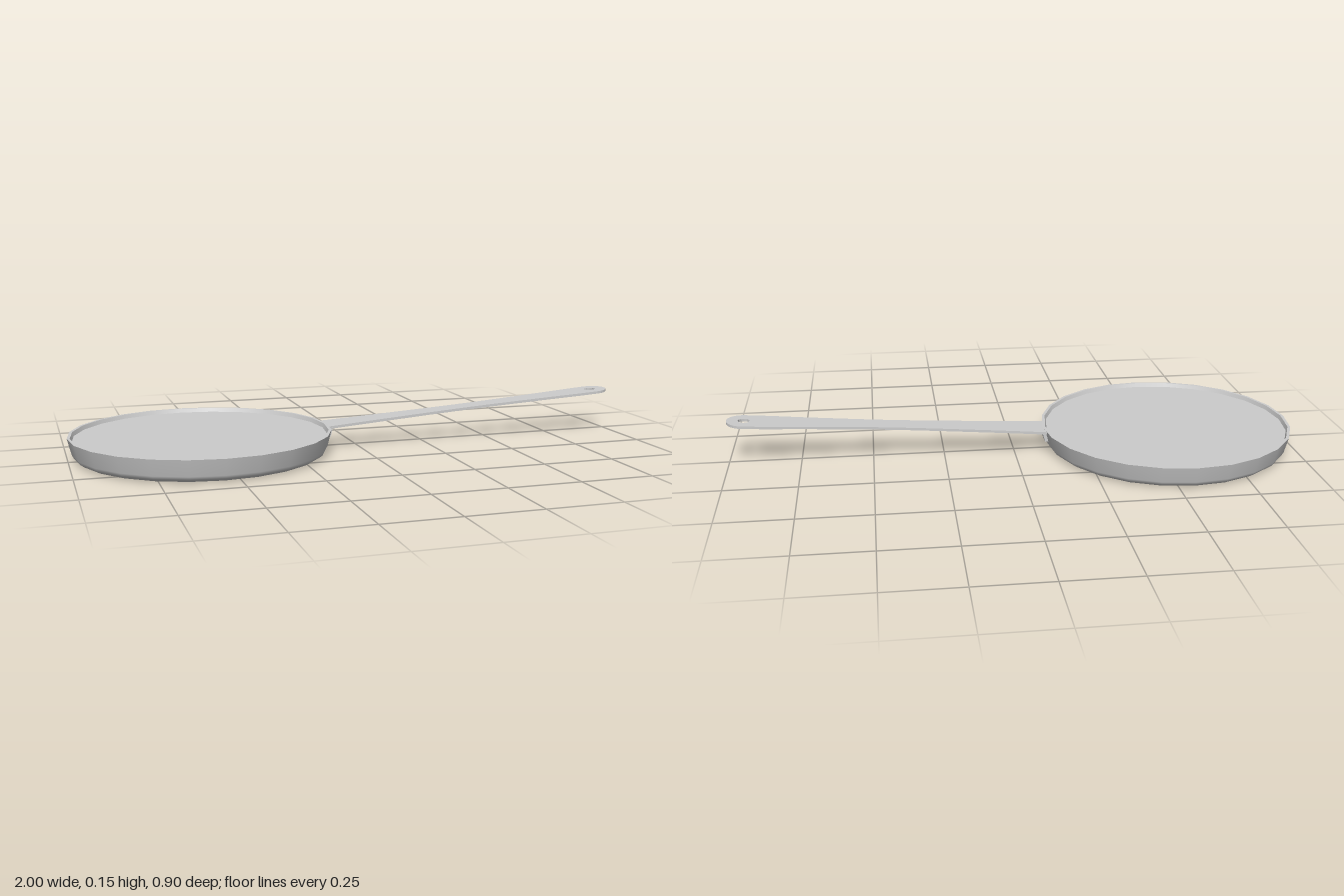
import * as THREE from 'three';

const PAN_X = -0.553;
const SIDES = 24;
const SLOPE = 0.068;

function createMesh(name, geometry) {
  const mesh = new THREE.Mesh(geometry, new THREE.MeshStandardMaterial({ color: 0xcccccc }));
  mesh.name = name;
  return mesh;
}

// One smooth surface of revolution; creases fall between separate parts
function lathe(name, points) {
  const profile = points.map(([r, y]) => new THREE.Vector2(r, y));
  const mesh = createMesh(name, new THREE.LatheGeometry(profile, SIDES));
  mesh.position.x = PAN_X;
  return mesh;
}

// Waisted strip with a round end and a hanging hole, tilted upwards
function handleGeometry() {
  const end = 0.943, half = 0.057;
  const shape = new THREE.Shape();
  shape.moveTo(-0.112, -half);
  shape.splineThru([[0.1, -0.047], [0.42, -0.038], [0.7, -0.046], [0.86, -0.055], [end, -half]]
    .map(([x, y]) => new THREE.Vector2(x, y)));
  shape.absarc(end, 0, half, -Math.PI / 2, Math.PI / 2, false);
  shape.splineThru([[0.86, 0.055], [0.7, 0.046], [0.42, 0.038], [0.1, 0.047], [-0.112, half]]
    .map(([x, y]) => new THREE.Vector2(x, y)));
  shape.closePath();
  const hole = new THREE.Path();
  hole.absarc(0.94, 0, 0.02, 0, Math.PI * 2, true);
  shape.holes.push(hole);

  const geometry = new THREE.ExtrudeGeometry(shape, { depth: 0.009, bevelEnabled: false, curveSegments: 6 });
  geometry.rotateX(-Math.PI / 2);
  const p = geometry.attributes.position;
  for (let i = 0; i < p.count; i++) {
    p.setY(i, p.getY(i) + 0.07 + SLOPE * (p.getX(i) + 0.112));
  }
  geometry.computeVertexNormals();
  return geometry;
}

// Short plate that lies against the sloping pan wall
function tabGeometry() {
  const shape = new THREE.Shape();
  shape.moveTo(-0.118, 0.043);
  shape.lineTo(-0.106, 0.043);
  shape.lineTo(-0.098, 0.074);
  shape.lineTo(-0.11, 0.074);
  shape.closePath();
  const geometry = new THREE.ExtrudeGeometry(shape, { depth: 0.114, bevelEnabled: false });
  geometry.translate(0, 0, -0.057);
  return geometry;
}

export function createModel() {
  const model = new THREE.Group();
  model.name = 'fryingPan';

  // Pan body
  const pan = new THREE.Group();
  pan.name = 'pan';
  pan.add(
    lathe('outerShell', [[0, 0], [0.395, 0], [0.415, 0.004], [0.428, 0.013], [0.434, 0.024], [0.448, 0.08]]),
    lathe('rim', [[0.448, 0.08], [0.438, 0.08]]),
    lathe('innerWall', [[0.438, 0.08], [0.433, 0.066]]),
    lathe('cookingSurface', [[0.433, 0.066], [0, 0.066]])
  );
  model.add(pan);

  // Handle and its fixing tab
  const handle = new THREE.Group();
  handle.name = 'handle';
  handle.add(createMesh('handleStrip', handleGeometry()), createMesh('handleTab', tabGeometry()));
  model.add(handle);

  return model;
}
